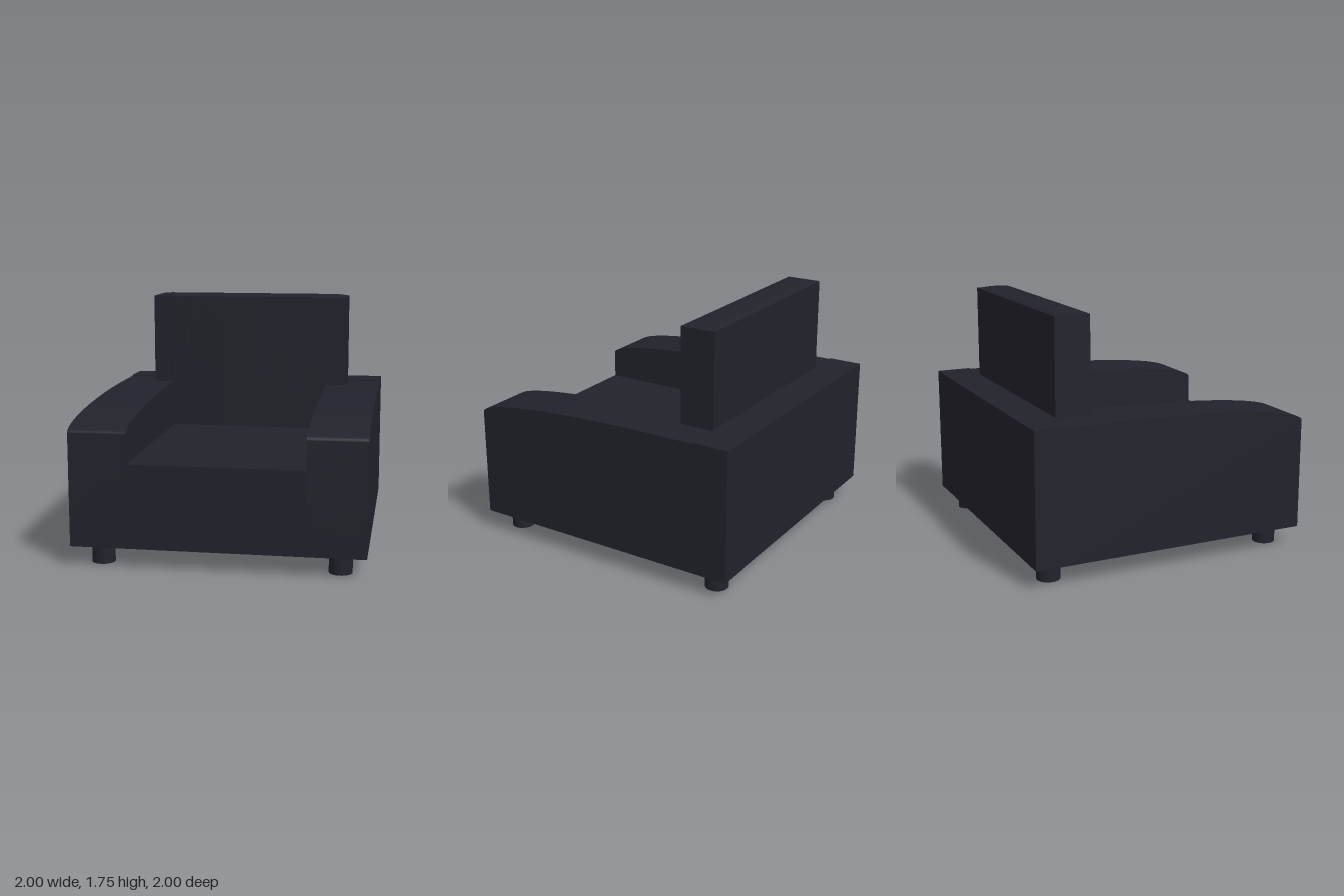
import * as THREE from 'three';
import { toCreasedNormals } from 'three/addons/utils/BufferGeometryUtils.js';

const FLOOR = 0.14; // underside of the body

export function createModel() {
  const model = new THREE.Group();
  model.name = 'armchair';
  const upholstery = new THREE.MeshStandardMaterial({ color: 0x22222c });
  upholstery.name = 'dark upholstery';

  const add = (name, geometry, x = 0, y = 0, z = 0) => {
    const mesh = new THREE.Mesh(geometry, upholstery);
    mesh.name = name;
    mesh.position.set(x, y, z);
    model.add(mesh);
  };
  // Box given by its lower and upper corners
  const addBox = (name, [x0, y0, z0], [x1, y1, z1]) =>
    add(name, new THREE.BoxGeometry(x1 - x0, y1 - y0, z1 - z0),
      (x0 + x1) / 2, (y0 + y1) / 2, (z0 + z1) / 2);

  // Seat between the arms, and the low back panel across the full width
  addBox('seat', [-0.6, FLOOR, -0.75], [0.6, 0.72, 1]);
  addBox('backPanel', [-1, FLOOR, -1], [1, 1.07, -0.75]);

  // Arms: side profile with a quarter-ellipse top, extruded across x
  const profile = new THREE.Shape();
  profile.moveTo(-0.75, FLOOR);
  profile.lineTo(1, FLOOR);
  profile.lineTo(1, 0.92);
  profile.absellipse(-0.5, 0.92, 1.5, 0.143, 0, Math.PI / 2, false, 0);
  profile.lineTo(-0.75, 1.063);
  const armGeometry = toCreasedNormals(
    new THREE.ExtrudeGeometry(profile, { depth: 0.4, bevelEnabled: false, curveSegments: 32 })
      .rotateY(-Math.PI / 2), 0.6);
  add('leftArm', armGeometry, 1);
  add('rightArm', armGeometry, -0.6);

  // Back cushion: box whose top swells gently away from its rim
  const W = 1.5, H = 1.035, D = 0.25;
  const cushion = new THREE.BoxGeometry(W, H, D, 30, 1, 10);
  const p = cushion.attributes.position;
  const swell = (d, reach) => {
    const t = 1 - Math.min(d / reach, 1);
    return Math.sqrt(1 - t * t);
  };
  for (let i = 0; i < p.count; i++) {
    if (p.getY(i) < 0) continue;
    const rise = swell(W / 2 - Math.abs(p.getX(i)), 0.12) * swell(D / 2 - Math.abs(p.getZ(i)), D / 2);
    p.setY(i, H / 2 - 0.017 + 0.017 * rise);
  }
  cushion.computeVertexNormals();
  add('backCushion', cushion, 0, 1.75 - H / 2, -0.625);

  // Four short round feet
  const foot = new THREE.CylinderGeometry(0.08, 0.08, FLOOR, 32);
  for (const [name, x, z] of [
    ['frontLeftFoot', 0.82, 0.84], ['frontRightFoot', -0.81, 0.84],
    ['backLeftFoot', 0.835, -0.84], ['backRightFoot', -0.81, -0.84],
  ]) add(name, foot, x, FLOOR / 2, z);

  return model;
}
